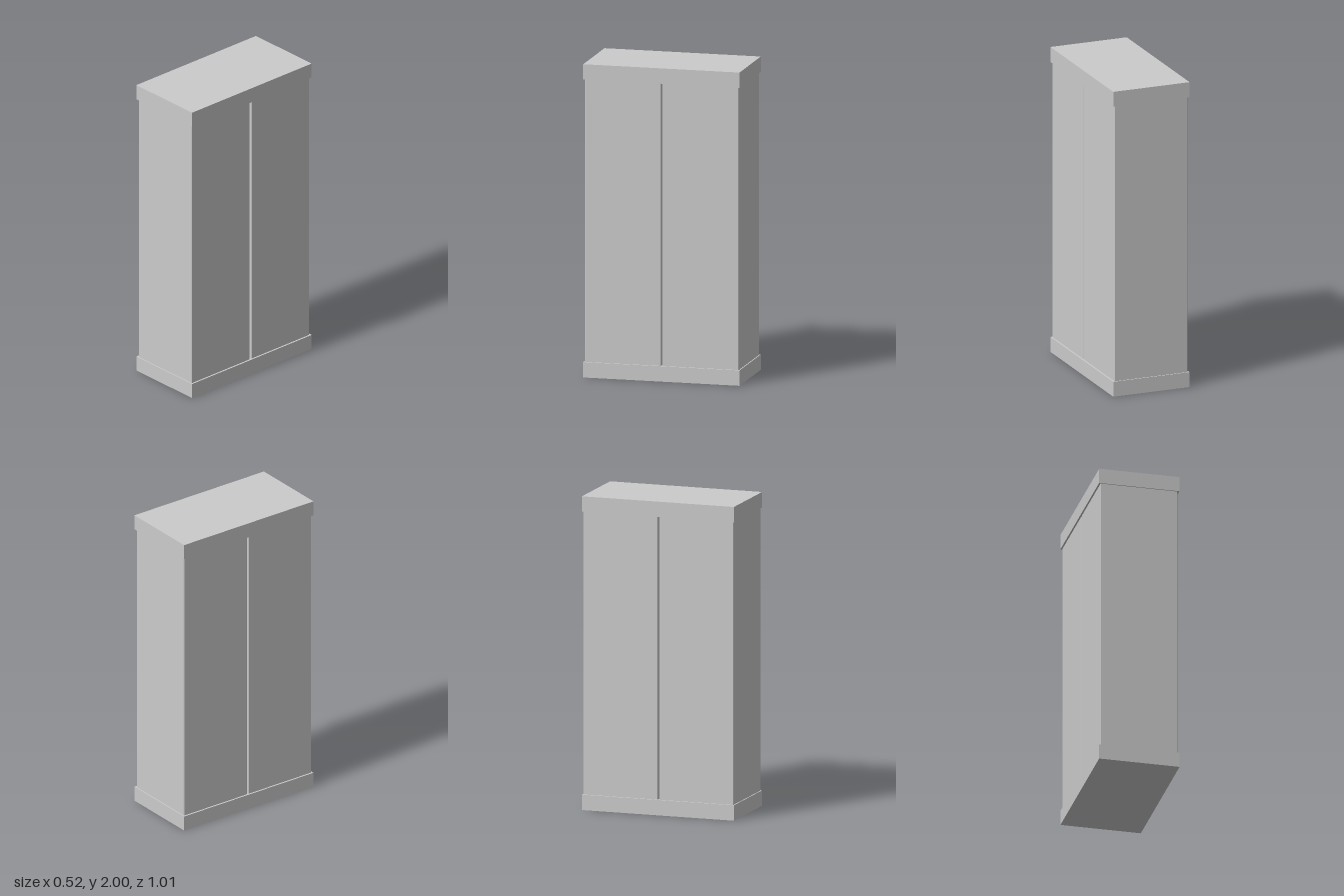
import * as THREE from 'three';

const material = new THREE.MeshStandardMaterial({ color: 0xcccccc, flatShading: true });

// Upright block with a chamfered rectangular plan
function makeBlock(name, width, depth, y0, y1, z, chamfer) {
  const w = width / 2, d = depth / 2, c = chamfer;
  const plan = new THREE.Shape([
    [w - c, -d], [w, -d + c], [w, d - c], [w - c, d],
    [-w + c, d], [-w, d - c], [-w, -d + c], [-w + c, -d],
  ].map(([x, y]) => new THREE.Vector2(x, y)));
  const geometry = new THREE.ExtrudeGeometry(plan, { depth: y1 - y0, bevelEnabled: false });
  geometry.rotateX(-Math.PI / 2);
  const mesh = new THREE.Mesh(geometry, material);
  mesh.name = name;
  mesh.position.set(0, y0, z);
  return mesh;
}

// Plain slab that overhangs the body
function makeSlab(name, y) {
  const mesh = new THREE.Mesh(new THREE.BoxGeometry(0.518, 0.098, 1.012), material);
  mesh.name = name;
  mesh.position.y = y;
  return mesh;
}

export function createModel() {
  const group = new THREE.Group();
  group.name = 'cabinet';

  // Base and top slabs
  group.add(makeSlab('base', 0.049), makeSlab('top', 1.951));

  // Two body halves separated by a narrow gap
  const gap = 0.005, end = 0.499;
  for (const [name, side] of [['frontBody', 1], ['backBody', -1]]) {
    group.add(makeBlock(name, 0.496, end - gap, 0.098, 1.902, side * (end + gap) / 2, 0.004));
  }
  return group;
}
